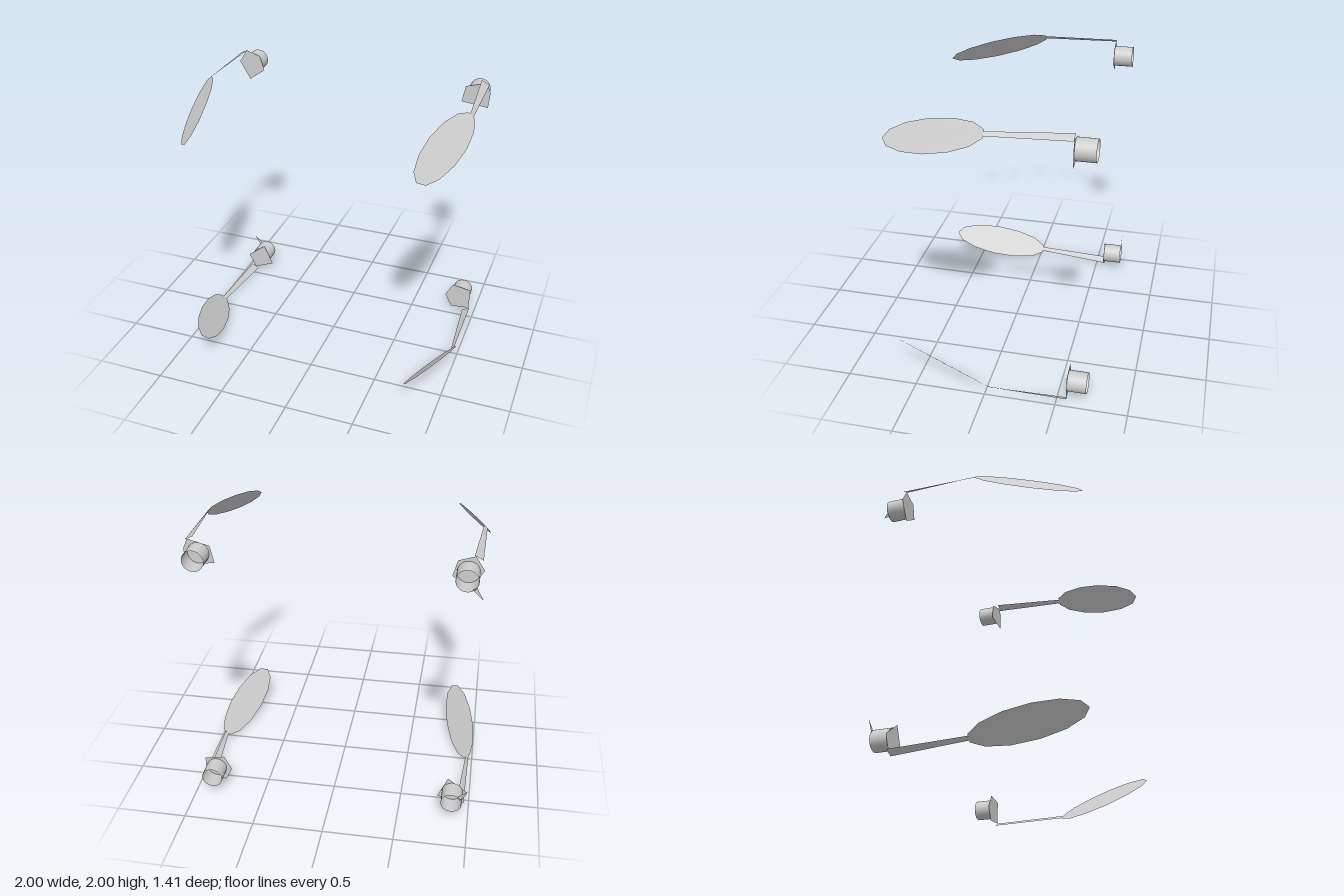
import * as THREE from 'three';

const RADIUS = 0.123;

// Flat polygon fan from a loop of [x, y, z] corners
function plate(points) {
  const geo = new THREE.BufferGeometry();
  geo.setAttribute('position', new THREE.Float32BufferAttribute(points.flat(), 3));
  const index = [];
  for (let i = 1; i < points.length - 1; i++) index.push(0, i, i + 1);
  geo.setIndex(index);
  geo.computeVertexNormals();
  return geo;
}

export function createModel() {
  const model = new THREE.Group();
  const grey = new THREE.MeshStandardMaterial({ color: 0xcccccc, side: THREE.DoubleSide });
  grey.name = 'lightGrey';

  const add = (parent, name, geo) => {
    const mesh = new THREE.Mesh(geo, grey);
    mesh.name = name;
    parent.add(mesh);
    return mesh;
  };

  // The four units differ in their irregular end plates
  const units = [
    { name: 'upperLeftUnit', sx: 1, sy: 1,
      cap: [[0.07, 0.1], [-0.08, 0.06], [-0.105, -0.06], [0.09, -0.085], [0.1, 0.03]] },
    { name: 'upperRightUnit', sx: -1, sy: 1, spike: true,
      cap: [[-0.04, 0.115], [-0.1, 0.02], [-0.02, -0.115], [0.1, -0.03], [0.07, 0.08]] },
    { name: 'lowerLeftUnit', sx: 1, sy: -1,
      cap: [[-0.06, 0.105], [-0.115, 0.0], [-0.065, -0.1], [0.08, -0.09], [0.085, 0.08]] },
    { name: 'lowerRightUnit', sx: -1, sy: -1, spike: true,
      cap: [[-0.11, 0.005], [-0.055, -0.11], [0.105, -0.045], [0.036, 0.115]] },
  ];

  for (const { name, sx, sy, cap, spike } of units) {
    const unit = new THREE.Group();
    unit.name = name;
    unit.position.set(sx * 0.877, sy > 0 ? 1.878 : 0.123, 0);
    model.add(unit);

    // Leaf blade: round from the front, leaning steeply inwards and forwards
    const blade = [];
    for (let i = 0; i < 13; i++) {
      const a = Math.PI / 4 + (i + 0.5) / 13 * Math.PI * 2;
      const x = Math.cos(a) * RADIUS, y = Math.sin(a) * RADIUS;
      blade.push([sx * x, sy * y, 0.338 - (x + y) * Math.SQRT1_2 * 2.97]);
    }
    add(unit, 'blade', plate(blade));

    // Tapering flat stalk, joined to the blade's rear edge
    add(unit, 'stalk', plate([
      [sx * 0.073, sy * 0.096, -0.017], [sx * 0.096, sy * 0.073, -0.017],
      [sx * 0.087, sy * 0.09, -0.57], [sx * 0.03, sy * 0.12, -0.57],
    ]));

    // End plate closing the front of the tube
    add(unit, 'endPlate', plate(cap.map(([x, y]) => [x, y, -0.57])));

    // Tube, open at the back
    const tube = new THREE.CylinderGeometry(0.074, 0.074, 0.135, 32, 1, true);
    tube.rotateX(Math.PI / 2);
    add(unit, 'tube', tube).position.set(0, 0.005, -0.638);

    // Thin spike at the tube's open end
    if (spike) {
      add(unit, 'spike', plate([
        [-0.108, -sy * 0.122, -0.7], [-0.035, -sy * 0.055, -0.7], [-0.06, -sy * 0.035, -0.7],
      ]));
    }
  }
  return model;
}
